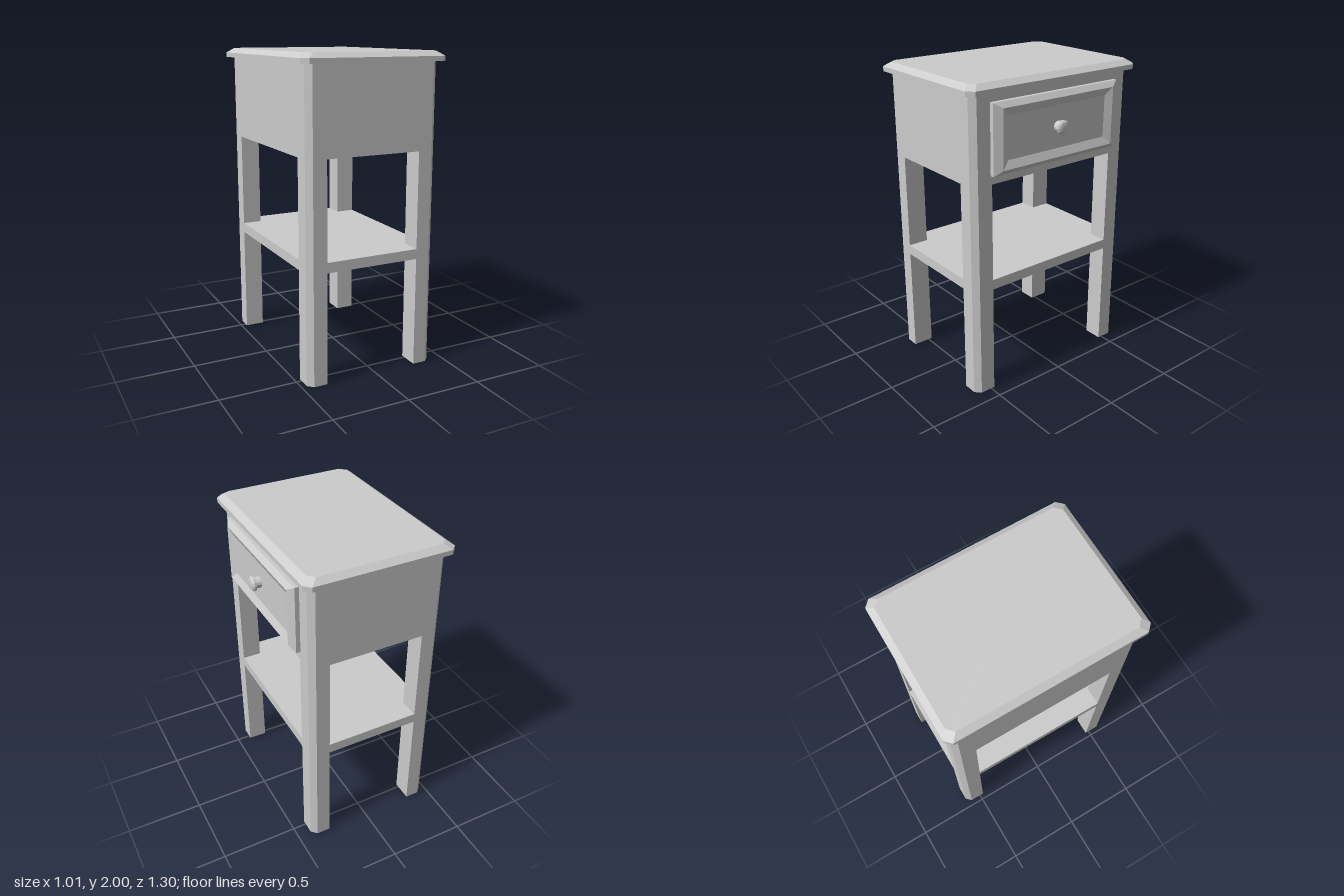
import * as THREE from 'three';

const material = new THREE.MeshStandardMaterial({ color: 0xcccccc, flatShading: true });
const openMaterial = new THREE.MeshStandardMaterial({ color: 0xcccccc, flatShading: true, side: THREE.DoubleSide });

const CX = -0.028; // middle of the cabinet; the knob pushes it off centre
const HX = 0.437, HZ = 0.61; // half size of the cabinet
const FRONT = CX + HX;

// Skin a stack of convex rings; each ring runs anticlockwise seen from the last ring's side
function loft(rings, capStart = true, capEnd = true) {
  const pos = [];
  const tri = (a, b, c) => pos.push(...a, ...b, ...c);
  const n = rings[0].length;
  for (let r = 0; r < rings.length - 1; r++) {
    const lo = rings[r], hi = rings[r + 1];
    for (let i = 0; i < n; i++) {
      const j = (i + 1) % n;
      tri(lo[i], lo[j], hi[j]);
      tri(lo[i], hi[j], hi[i]);
    }
  }
  const first = rings[0], last = rings[rings.length - 1];
  for (let i = 1; i < n - 1; i++) {
    if (capStart) tri(first[0], first[i + 1], first[i]);
    if (capEnd) tri(last[0], last[i], last[i + 1]);
  }
  const geo = new THREE.BufferGeometry();
  geo.setAttribute('position', new THREE.Float32BufferAttribute(pos, 3));
  geo.computeVertexNormals();
  return geo;
}

// Horizontal rectangle with its corners cut off
function cutRect(hx, hz, cut, y) {
  return [
    [hx, hz - cut], [hx, -hz + cut], [hx - cut, -hz], [-hx + cut, -hz],
    [-hx, -hz + cut], [-hx, hz - cut], [-hx + cut, hz], [hx - cut, hz],
  ].map(([x, z]) => [CX + x, y, z]);
}

// Upright rectangle facing +x
function panelRing(x, hy, hz) {
  const cy = 1.67;
  return [[x, cy - hy, hz], [x, cy - hy, -hz], [x, cy + hy, -hz], [x, cy + hy, hz]];
}

export function createModel() {
  const group = new THREE.Group();
  const add = (name, geo, mat = material) => {
    const mesh = new THREE.Mesh(geo, mat);
    mesh.name = name;
    group.add(mesh);
    return mesh;
  };

  // Table top with a bevelled upper edge
  add('tableTop', loft([
    cutRect(0.48, 0.652, 0.04, 1.94),
    cutRect(0.48, 0.652, 0.04, 1.97),
    cutRect(0.438, 0.612, 0.04, 2.0),
  ]));

  // Drawer case, flush with the legs
  add('cabinet', loft([cutRect(HX, HZ, 0.035, 1.4), cutRect(HX, HZ, 0.035, 1.94)]));

  // Shelf, its cut corners buried in the legs
  add('shelf', loft([cutRect(HX, HZ, 0.12, 0.715), cutRect(HX, HZ, 0.12, 0.78)]));

  // Four hollow legs with a chamfered outer corner
  const wx = 0.125, wz = 0.135, cut = 0.035;
  for (const sx of [1, -1]) {
    for (const sz of [1, -1]) {
      const outline = [
        [HX - wx, HZ - wz], [HX - wx, HZ], [HX - cut, HZ], [HX, HZ - cut], [HX, HZ - wz],
      ].map(([x, z]) => [CX + sx * x, sz * z]);
      if (sx * sz < 0) outline.reverse();
      const ring = (y) => outline.map(([x, z]) => [x, y, z]);
      const name = (sz > 0 ? 'front' : 'back') + (sx > 0 ? 'Left' : 'Right') + 'Leg';
      add(name, loft([ring(0), ring(1.4)], false, false), openMaterial);
    }
  }

  // Drawer front: bevelled rim around a sunken panel
  add('drawerFront', loft([
    panelRing(FRONT - 0.005, 0.216, 0.484),
    panelRing(0.436, 0.216, 0.484),
    panelRing(0.463, 0.183, 0.432),
    panelRing(0.441, 0.133, 0.382),
  ]));

  // Round knob turned about the x axis
  const profile = [
    [0, 0], [0.036, 0], [0.032, 0.034], [0.046, 0.038], [0.047, 0.05], [0.036, 0.06], [0.018, 0.064], [0, 0.065],
  ].map(([r, h]) => new THREE.Vector2(r, h));
  const knob = add('knob', new THREE.LatheGeometry(profile, 12));
  knob.rotation.z = -Math.PI / 2;
  knob.position.set(0.438, 1.672, 0);

  return group;
}
